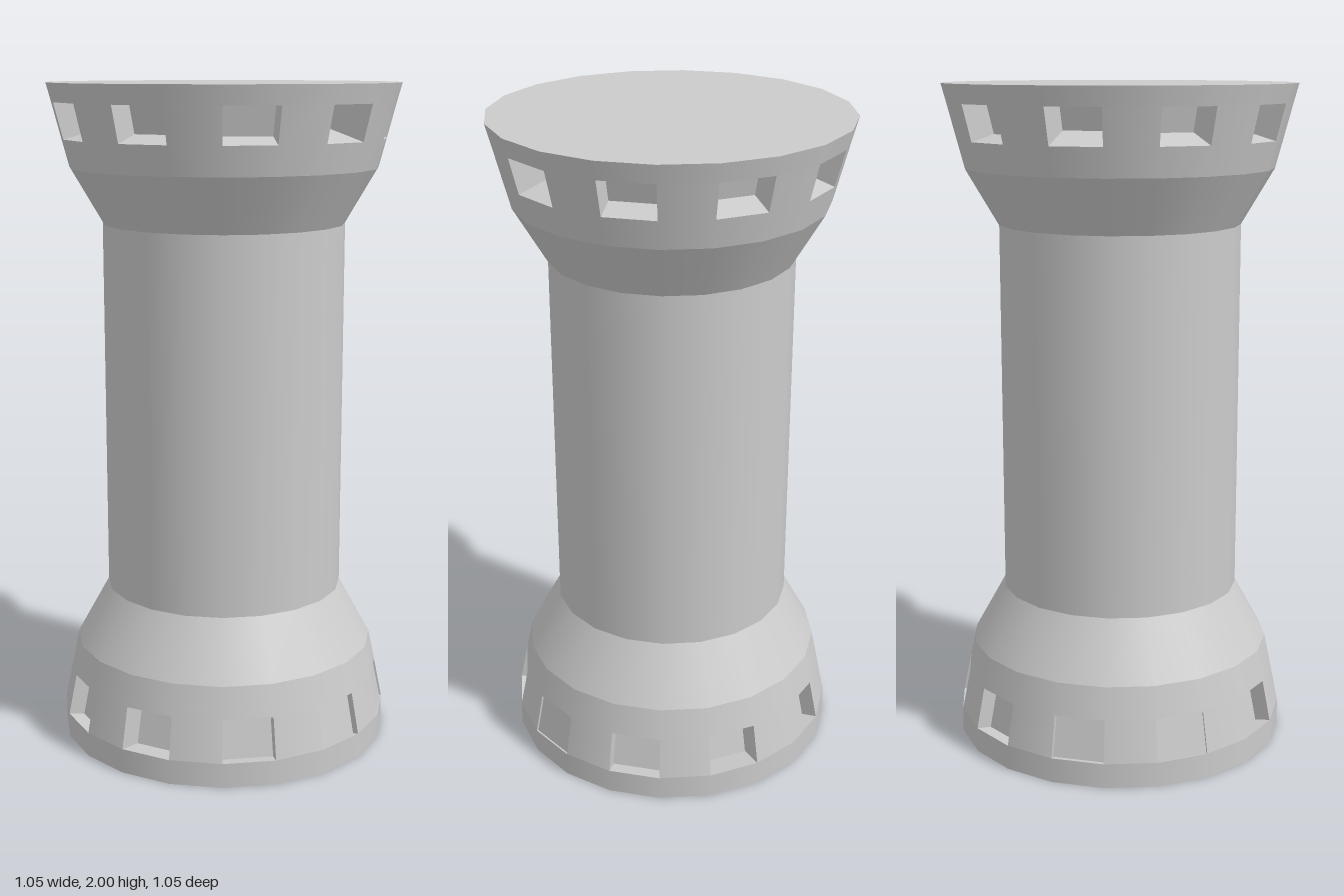
import * as THREE from 'three';

const SIDES = 20;
const STEP = (Math.PI * 2) / SIDES;
const material = new THREE.MeshStandardMaterial({ color: 0xcccccc });

function addMesh(group, name, geometry, y = 0) {
  const mesh = new THREE.Mesh(geometry, material);
  mesh.name = name;
  mesh.position.y = y;
  group.add(mesh);
  return mesh;
}

// Smooth open ring between two heights and radii
function band(group, name, y0, r0, y1, r1) {
  addMesh(group, name, new THREE.CylinderGeometry(r1, r0, y1 - y0, SIDES, 1, true), (y0 + y1) / 2);
}

// Ring in which every second facet is a window recessed along its normal
function windowBand(group, name, y0, r0, y1, r1, depths) {
  const positions = [], normals = [];
  const slope = (r0 - r1) / (y1 - y0);
  const point = (i, r, y) => new THREE.Vector3(Math.sin(i * STEP) * r, y, Math.cos(i * STEP) * r);
  const outward = (i) => point(i, 1, slope).normalize();
  const quad = (p, n) => {
    for (const k of [0, 1, 2, 0, 2, 3]) {
      positions.push(...p[k].toArray());
      normals.push(...n[k].toArray());
    }
  };
  const flatQuad = (...p) => {
    const n = p[1].clone().sub(p[0]).cross(p[2].clone().sub(p[0])).normalize();
    quad(p, [n, n, n, n]);
  };
  for (let i = 0; i < SIDES; i++) {
    const p = [point(i, r0, y0), point(i + 1, r0, y0), point(i + 1, r1, y1), point(i, r1, y1)];
    if (i % 2 === 0) {
      const a = outward(i), b = outward(i + 1);
      quad(p, [a, b, b, a]);
      continue;
    }
    // Recess: back pane and four reveals
    const depth = depths[((i - 1) / 2) % depths.length];
    const inward = outward(i + 0.5).multiplyScalar(-depth);
    const q = p.map((v) => v.clone().add(inward));
    flatQuad(...q);
    for (let j = 0; j < 4; j++) {
      const k = (j + 1) % 4;
      flatQuad(p[j], p[k], q[k], q[j]);
    }
  }
  const geometry = new THREE.BufferGeometry();
  geometry.setAttribute('position', new THREE.Float32BufferAttribute(positions, 3));
  geometry.setAttribute('normal', new THREE.Float32BufferAttribute(normals, 3));
  addMesh(group, name, geometry);
}

export function createModel() {
  const model = new THREE.Group();
  model.name = 'tower';

  // Base with its ring of shallow windows
  const base = new THREE.Group();
  base.name = 'base';
  addMesh(base, 'baseUnderside', new THREE.CircleGeometry(0.505, SIDES)).rotation.x = Math.PI / 2;
  band(base, 'basePlinth', 0, 0.505, 0.075, 0.505);
  windowBand(base, 'baseWindows', 0.075, 0.505, 0.2, 0.48, [0.02, 0.006, 0.05, 0.09, 0.05]);
  band(base, 'baseUpperWall', 0.2, 0.48, 0.295, 0.46);
  band(base, 'baseShoulder', 0.295, 0.46, 0.47, 0.363);

  // Straight shaft
  band(model, 'shaft', 0.47, 0.363, 1.59, 0.363);

  // Flared head with its ring of deeper windows
  const head = new THREE.Group();
  head.name = 'head';
  band(head, 'headCorbel', 1.59, 0.363, 1.755, 0.46);
  band(head, 'headLowerWall', 1.755, 0.46, 1.84, 0.4825);
  windowBand(head, 'headWindows', 1.84, 0.4825, 1.945, 0.51, [0.14, 0.12, 0.08, 0.09, 0.08]);
  band(head, 'headRim', 1.945, 0.51, 2, 0.525);
  addMesh(head, 'roof', new THREE.CircleGeometry(0.525, SIDES), 2).rotation.x = -Math.PI / 2;

  model.add(base, head);
  return model;
}
